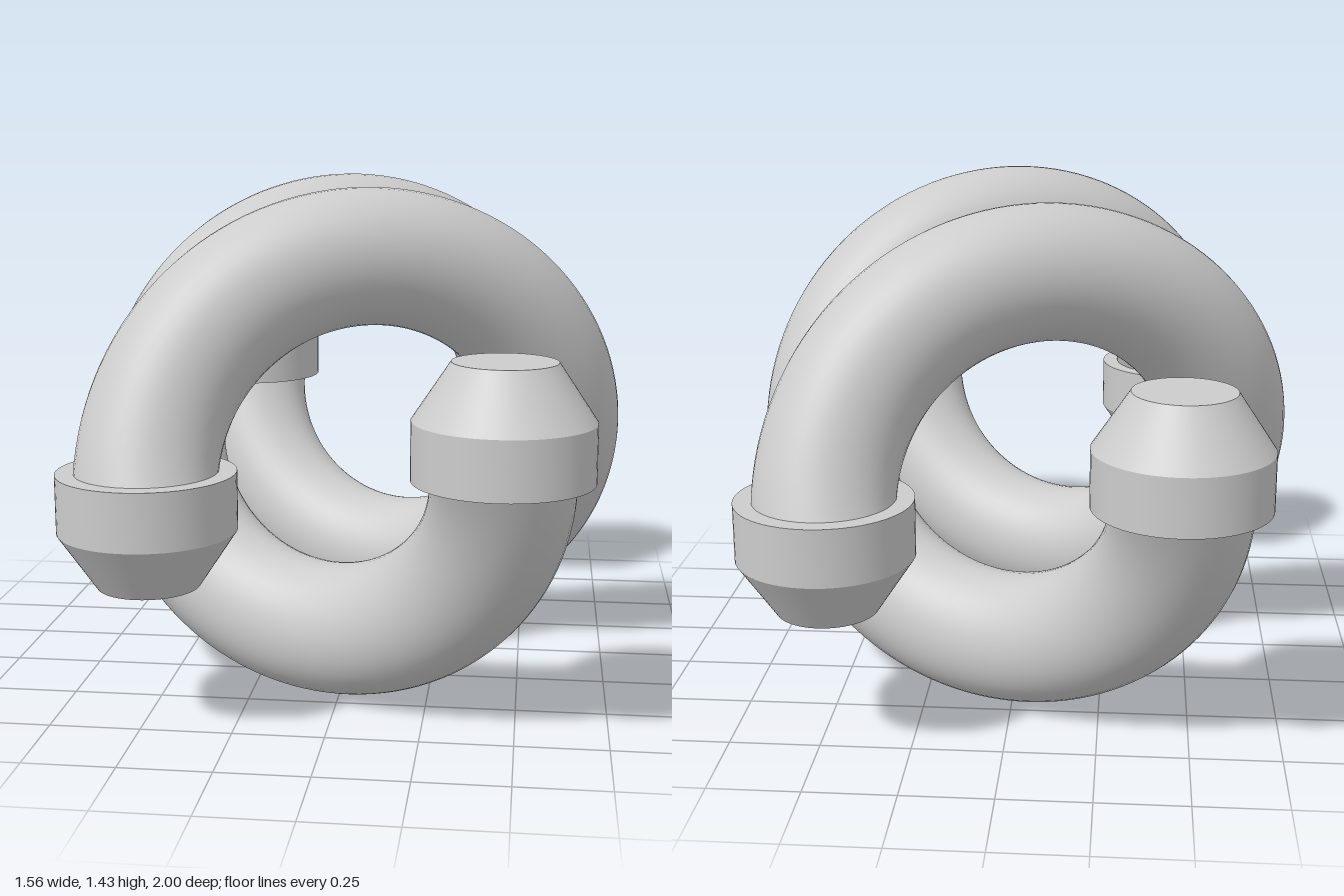
import * as THREE from 'three';
import { mergeVertices, toCreasedNormals } from 'three/addons/utils/BufferGeometryUtils.js';

const COIL_RADIUS = 0.527;
const TUBE_RADIUS = 0.1875;
const HALF_LENGTH = 0.765;
const COIL_OFFSET = 0.067;
const MID_HEIGHT = 0.717;

// One full turn: a torus sheared along z, so every radial section stays a circle
function coilGeometry() {
  const turns = 128;
  const torus = new THREE.TorusGeometry(COIL_RADIUS, TUBE_RADIUS, 40, turns);
  torus.rotateZ(Math.PI);
  const pos = torus.attributes.position;
  for (let i = 0; i < pos.count; i++) {
    const t = (i % (turns + 1)) / turns;
    pos.setZ(i, pos.getZ(i) + HALF_LENGTH * (2 * t - 1));
  }
  torus.deleteAttribute('uv');
  torus.deleteAttribute('normal');
  const coil = mergeVertices(torus, 1e-5);
  coil.computeVertexNormals();
  return coil;
}

// End cap: a short cylinder with a tapered, flat-topped nose
function capGeometry() {
  const profile = [[0, 0], [0.235, 0], [0.235, 0.155], [0.135, 0.305], [0, 0.305]]
    .map(([r, y]) => new THREE.Vector2(r, y));
  return toCreasedNormals(new THREE.LatheGeometry(profile, 64), 0.5);
}

export function createModel() {
  const model = new THREE.Group();
  model.name = 'doubleCoil';
  const grey = new THREE.MeshStandardMaterial({ color: 0xcccccc });
  grey.name = 'light grey';
  const coilGeo = coilGeometry();
  const capGeo = capGeometry();

  // Two identical strands, half a turn apart about the vertical axis
  ['right', 'left'].forEach((side, k) => {
    const strand = new THREE.Group();
    strand.name = side + 'Strand';
    strand.rotation.y = k * Math.PI;

    const coil = new THREE.Mesh(coilGeo, grey);
    coil.name = 'coil';
    coil.position.set(COIL_OFFSET, MID_HEIGHT, 0);
    strand.add(coil);

    // One cap points down, the other up
    [['lowerCap', 1, Math.PI], ['upperCap', -1, 0]].forEach(([name, end, tilt]) => {
      const cap = new THREE.Mesh(capGeo, grey);
      cap.name = name;
      cap.position.set(COIL_OFFSET - COIL_RADIUS, 0.72, end * HALF_LENGTH);
      cap.rotation.x = tilt;
      strand.add(cap);
    });
    model.add(strand);
  });
  return model;
}
